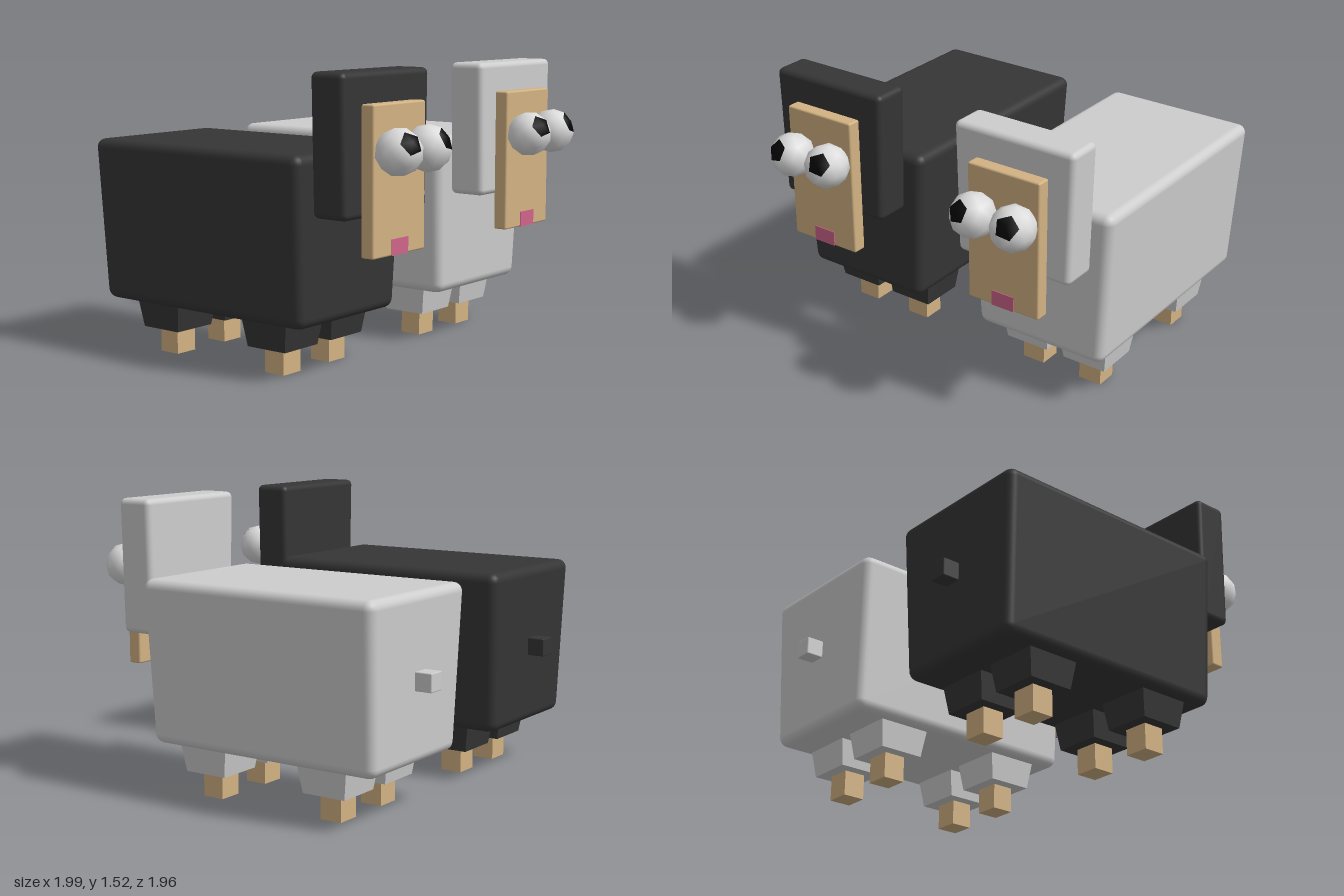
import * as THREE from 'three';
import { RoundedBoxGeometry } from 'three/addons/geometries/RoundedBoxGeometry.js';

const mat = (name, color) => {
  const m = new THREE.MeshStandardMaterial({ color });
  m.name = name;
  return m;
};

// Narrow a box towards its bottom, keeping the normals true to the slope
function taper(geo, height, bottomX, bottomZ) {
  const p = geo.attributes.position, n = geo.attributes.normal;
  const v = new THREE.Vector3();
  const kx = (1 - bottomX) / height, kz = (1 - bottomZ) / height;
  for (let i = 0; i < p.count; i++) {
    const x = p.getX(i), y = p.getY(i), z = p.getZ(i);
    const sx = 1 - kx * (height / 2 - y), sz = 1 - kz * (height / 2 - y);
    v.set(n.getX(i) / sx, 0, n.getZ(i) / sz);
    v.y = n.getY(i) - kx * x * v.x - kz * z * v.z;
    v.normalize();
    p.setXYZ(i, x * sx, y, z * sz);
    n.setXYZ(i, v.x, v.y, v.z);
  }
  return geo;
}

// Ball whose five faces around one corner form the pupil, turned to look along dir
function eyeGeometry(radius, dir) {
  const geo = new THREE.IcosahedronGeometry(radius, 1);
  const p = geo.attributes.position, v = new THREE.Vector3();
  const t = (1 + Math.sqrt(5)) / 2;
  const pole = new THREE.Vector3(-1, t, 0).normalize();
  for (let f = 0; f < p.count; f += 3) {
    let isPupil = false;
    for (let k = 0; k < 3; k++) {
      v.fromBufferAttribute(p, f + k).normalize();
      if (v.distanceTo(pole) < 0.01) isPupil = true;
    }
    geo.addGroup(f, 3, isPupil ? 1 : 0);
  }
  geo.applyQuaternion(new THREE.Quaternion().setFromUnitVectors(pole, dir.clone().normalize()));
  return geo;
}

export function createModel() {
  const blackWool = mat('black wool', 0x353535);
  const whiteWool = mat('white wool', 0xcdcdcd);
  const skin = mat('tan skin', 0xd2b283);
  const pink = mat('pink mouth', 0xd0648a);
  const eyeWhite = mat('eye white', 0xdcdcdc);
  const pupil = mat('pupil', 0x050505);

  function sheep(name, wool) {
    const g = new THREE.Group();
    g.name = name;
    const add = (part, geo, material, x, y, z) => {
      const m = new THREE.Mesh(geo, material);
      m.name = part;
      m.position.set(x, y, z);
      g.add(m);
    };

    // Woolly body, head and tail
    add('body', taper(new RoundedBoxGeometry(0.85, 0.85, 1.39, 3, 0.05), 0.85, 0.885, 0.97), wool, 0, 0.7, -0.195);
    add('head', taper(new RoundedBoxGeometry(0.69, 0.695, 0.2, 3, 0.03), 0.695, 0.95, 1), wool, 0, 1.168, 0.61);
    add('tail', new RoundedBoxGeometry(0.095, 0.095, 0.095, 1, 0.006), wool, 0, 0.698, -0.933);

    // Face and mouth
    add('face', new RoundedBoxGeometry(0.415, 0.73, 0.075, 2, 0.01), skin, 0, 1.0, 0.7475);
    add('mouth', new THREE.BoxGeometry(0.13, 0.08, 0.006), pink, 0, 0.676, 0.786);

    // Eyes looking up and outwards
    for (const s of [-1, 1]) {
      const dir = new THREE.Vector3(s * 0.027, 0.052, 0.098);
      add(s > 0 ? 'leftEye' : 'rightEye', eyeGeometry(0.117, dir), [eyeWhite, pupil], s * 0.117, 1.143, 0.865);
    }

    // Legs with wool cuffs
    for (const [end, z] of [['front', 0.195], ['back', -0.536]]) {
      for (const s of [-1, 1]) {
        const label = end + (s > 0 ? 'Left' : 'Right');
        add(label + 'Cuff', taper(new THREE.BoxGeometry(0.29, 0.15, 0.29), 0.15, 0.86, 0.84), wool, s * 0.178, 0.21, z);
        add(label + 'Leg', new THREE.BoxGeometry(0.13, 0.15, 0.12), skin, s * 0.178, 0.075, z);
      }
    }
    return g;
  }

  const model = new THREE.Group();
  model.name = 'sheepPair';
  const black = sheep('blackSheep', blackWool);
  const white = sheep('whiteSheep', whiteWool);
  black.position.x = -0.575;
  white.position.x = 0.575;
  model.add(black, white);
  return model;
}
